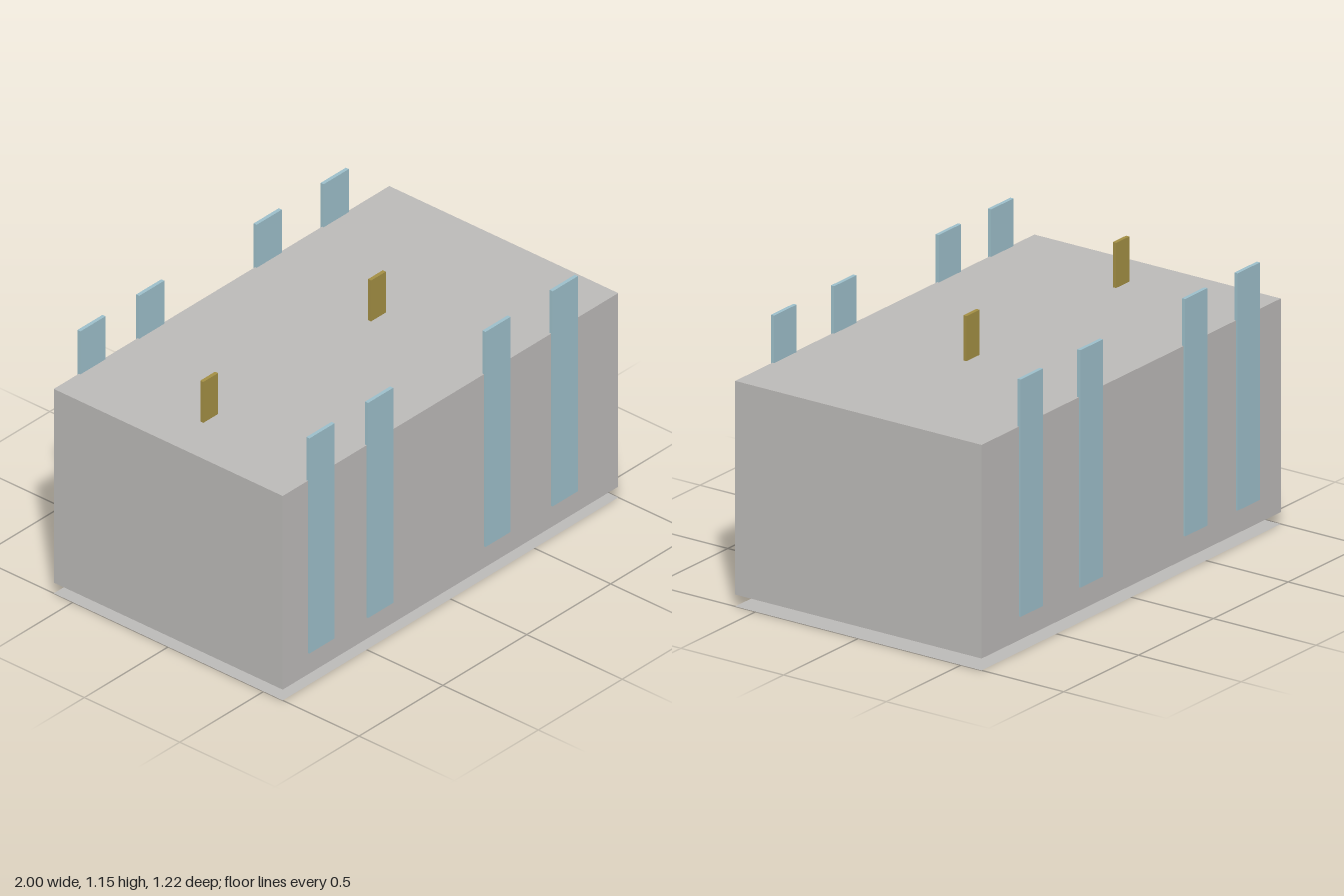
import * as THREE from 'three';

const grey = new THREE.MeshStandardMaterial({ name: 'warm grey', color: 0xbcbab8 });
const blue = new THREE.MeshStandardMaterial({ name: 'pale blue', color: 0x9dbfca });
const ochre = new THREE.MeshStandardMaterial({ name: 'ochre', color: 0xa38f44 });
// The base sheet shares the grey and is seen from both sides.
const greySheet = grey.clone();
greySheet.name = 'warm grey sheet';
greySheet.side = THREE.DoubleSide;

const WIDTH = 2, DEPTH = 1.2, THICK = 0.016;

export function createModel() {
  const model = new THREE.Group();
  model.name = 'panelledBlock';

  // Box given by its left edge, bottom and middle z.
  function addBox(name, material, x, y, z, w, h, d) {
    const mesh = new THREE.Mesh(new THREE.BoxGeometry(w, h, d), material);
    mesh.name = name;
    mesh.position.set(x + w / 2, y + h / 2, z);
    model.add(mesh);
  }

  // Ground sheet, with the main block floating just above it
  const sheet = new THREE.Mesh(new THREE.PlaneGeometry(WIDTH, DEPTH), greySheet);
  sheet.name = 'baseSheet';
  sheet.rotation.x = -Math.PI / 2;
  model.add(sheet);
  addBox('mainBlock', grey, -WIDTH / 2, 0.05, 0, WIDTH, 0.9, DEPTH);

  // Tall panels, half sunk into the front and back walls
  for (const [side, z] of [['front', DEPTH / 2], ['back', -DEPTH / 2]]) {
    for (const x of [-0.85, -0.5, 0.2, 0.6]) {
      addBox(side + 'Panel', blue, x, 0.15, z, 0.15, 1, THICK);
    }
  }

  // Small upright tabs on the roof
  for (const x of [-0.8, 0.2]) {
    addBox('roofTab', ochre, x, 0.95, 0, 0.088, 0.19, THICK);
  }

  return model;
}
